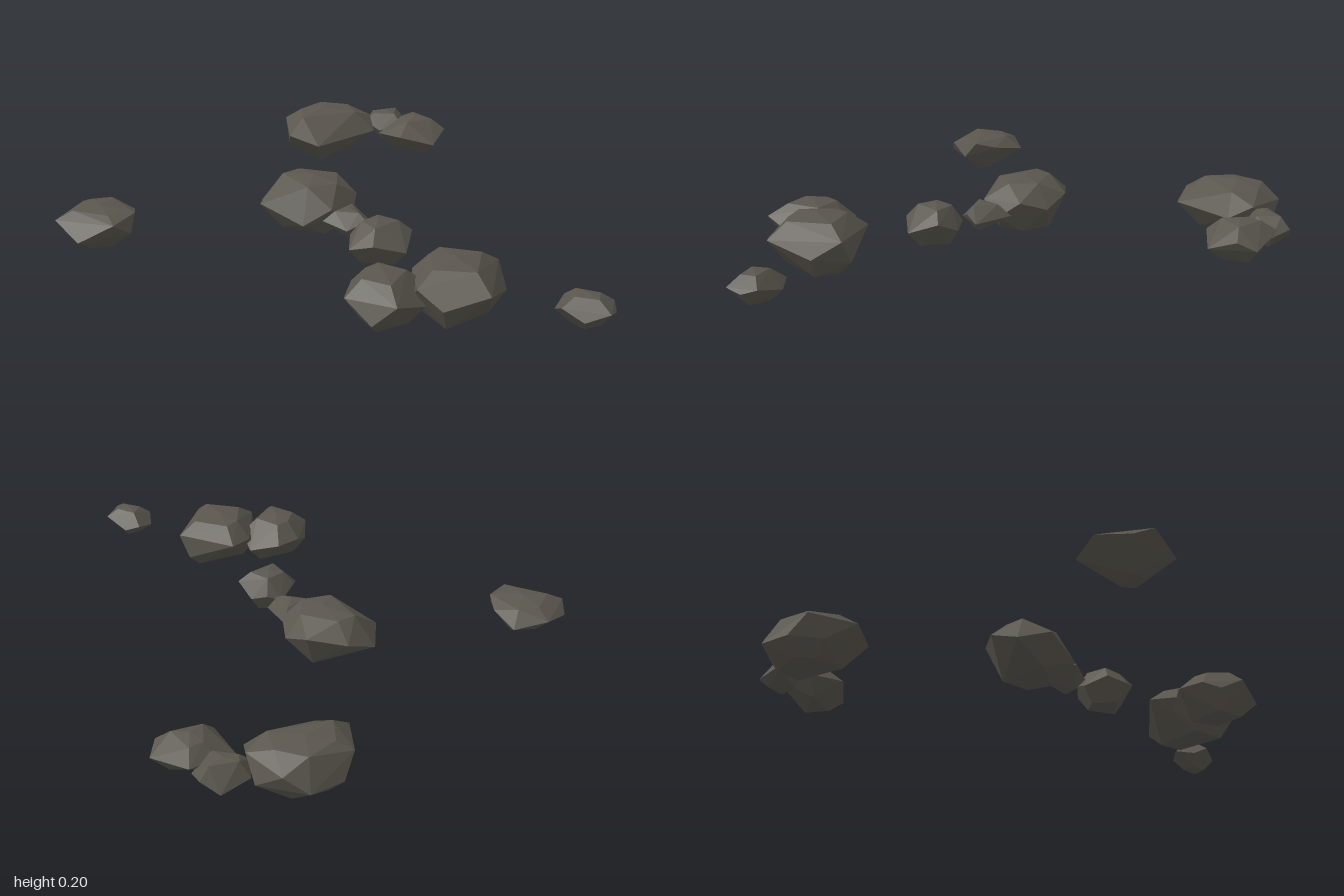
import * as THREE from 'three';
import { ConvexGeometry } from 'three/addons/geometries/ConvexGeometry.js';

const stone = new THREE.MeshStandardMaterial({ color: 0x5a564e });

// A faceted rock: a rim of [x, y, z] corners at its widest line, with smaller
// rings above and below it and a low peak over the middle.
function makeRock(name, bottom, top, lowScale, highScale, rim) {
  const n = rim.length;
  const cx = rim.reduce((s, p) => s + p[0], 0) / n;
  const cz = rim.reduce((s, p) => s + p[2], 0) / n;
  const points = [new THREE.Vector3(cx, top, cz)];
  const height = top - bottom;
  rim.forEach(([x, y, z], i) => {
    points.push(new THREE.Vector3(x, y, z));
    const ring = (scale, level) => points.push(
      new THREE.Vector3(cx + (x - cx) * scale, level, cz + (z - cz) * scale));
    // Alternate corners carry the upper and lower facets
    if (i % 2 === 0) ring(highScale, top - height * 0.07);
    else ring(lowScale, bottom);
  });
  const mesh = new THREE.Mesh(new ConvexGeometry(points), stone);
  mesh.name = name;
  return mesh;
}

export function createModel() {
  const group = new THREE.Group();
  group.name = 'scatteredRocks';
  const add = (...args) => group.add(makeRock(...args));

  // Lone rock on the right side
  add('outerRock', 0.01, 0.16, 0.35, 0.6, [
    [-0.83, 0.1, 0.25], [-0.74, 0.12, 0.34], [-0.71, 0.14, 0.42], [-0.71, 0.08, 0.47],
    [-0.75, 0.13, 0.53], [-0.87, 0.07, 0.57], [-0.98, 0.12, 0.5], [-1, 0.09, 0.43], [-0.95, 0.12, 0.31]]);

  // Rear cluster
  add('rearLargeRock', 0, 0.19, 0.6, 0.62, [
    [-0.34, 0.07, -0.87], [-0.25, 0.13, -0.885], [-0.15, 0.06, -0.86], [-0.1, 0.14, -0.8],
    [-0.065, 0.1, -0.71], [-0.255, 0.09, -0.5], [-0.38, 0.12, -0.52], [-0.41, 0.05, -0.63],
    [-0.44, 0.14, -0.69], [-0.425, 0.06, -0.76]]);
  add('rearSmallRock', 0.03, 0.15, 0.55, 0.6, [
    [-0.135, 0.08, -0.85], [-0.06, 0.06, -0.94], [0.01, 0.1, -0.94], [0.06, 0.08, -0.88],
    [0.03, 0.11, -0.8], [-0.05, 0.08, -0.77], [-0.115, 0.11, -0.79]]);
  add('rearMediumRock', 0.02, 0.16, 0.55, 0.55, [
    [0.06, 0.11, -0.9], [0.22, 0.08, -0.84], [0.225, 0.11, -0.77], [0.195, 0.07, -0.665],
    [0.06, 0.1, -0.645], [-0.05, 0.08, -0.74], [0, 0.1, -0.81]]);

  // Central chain
  add('centreLargeRock', 0, 0.2, 0.6, 0.6, [
    [-0.265, 0.12, -0.06], [-0.115, 0.14, -0.09], [-0.02, 0.1, -0.04], [0.02, 0.13, 0.055],
    [0.02, 0.07, 0.14], [-0.04, 0.12, 0.21], [-0.14, 0.06, 0.24], [-0.32, 0.1, 0.16], [-0.345, 0.07, 0.04]]);
  add('centreSmallRock', 0.03, 0.13, 0.5, 0.55, [
    [0.02, 0.08, 0.09], [0.12, 0.07, 0.2], [0.095, 0.1, 0.24], [0.03, 0.07, 0.275],
    [-0.065, 0.09, 0.245], [-0.06, 0.07, 0.15]]);
  add('centreMediumRock', 0.01, 0.16, 0.6, 0.6, [
    [0.135, 0.09, 0.245], [0.2, 0.07, 0.245], [0.27, 0.11, 0.3], [0.27, 0.07, 0.415],
    [0.16, 0.1, 0.455], [0.07, 0.07, 0.43], [0.06, 0.1, 0.36], [0.085, 0.07, 0.27]]);

  // Front cluster
  add('frontMediumRock', 0, 0.175, 0.6, 0.55, [
    [0.2, 0.1, 0.635], [0.32, 0.07, 0.62], [0.38, 0.11, 0.7], [0.4, 0.07, 0.8], [0.33, 0.12, 0.93],
    [0.25, 0.05, 0.935], [0.15, 0.11, 0.875], [0.13, 0.07, 0.79], [0.14, 0.1, 0.72]]);
  add('frontLargeRock', 0, 0.2, 0.68, 0.6, [
    [0.365, 0.13, 0.53], [0.555, 0.05, 0.53], [0.6, 0.14, 0.545], [0.64, 0.08, 0.645], [0.61, 0.13, 0.815],
    [0.465, 0.09, 0.87], [0.375, 0.14, 0.83], [0.335, 0.06, 0.72], [0.325, 0.12, 0.63]]);

  // Lone pebble on the left side
  add('pebble', 0.03, 0.14, 0.5, 0.5, [
    [0.825, 0.09, 0.655], [0.885, 0.07, 0.645], [0.985, 0.1, 0.69], [0.995, 0.085, 0.745],
    [0.98, 0.1, 0.8], [0.9, 0.07, 0.815], [0.825, 0.1, 0.785], [0.8, 0.07, 0.73]]);

  return group;
}
